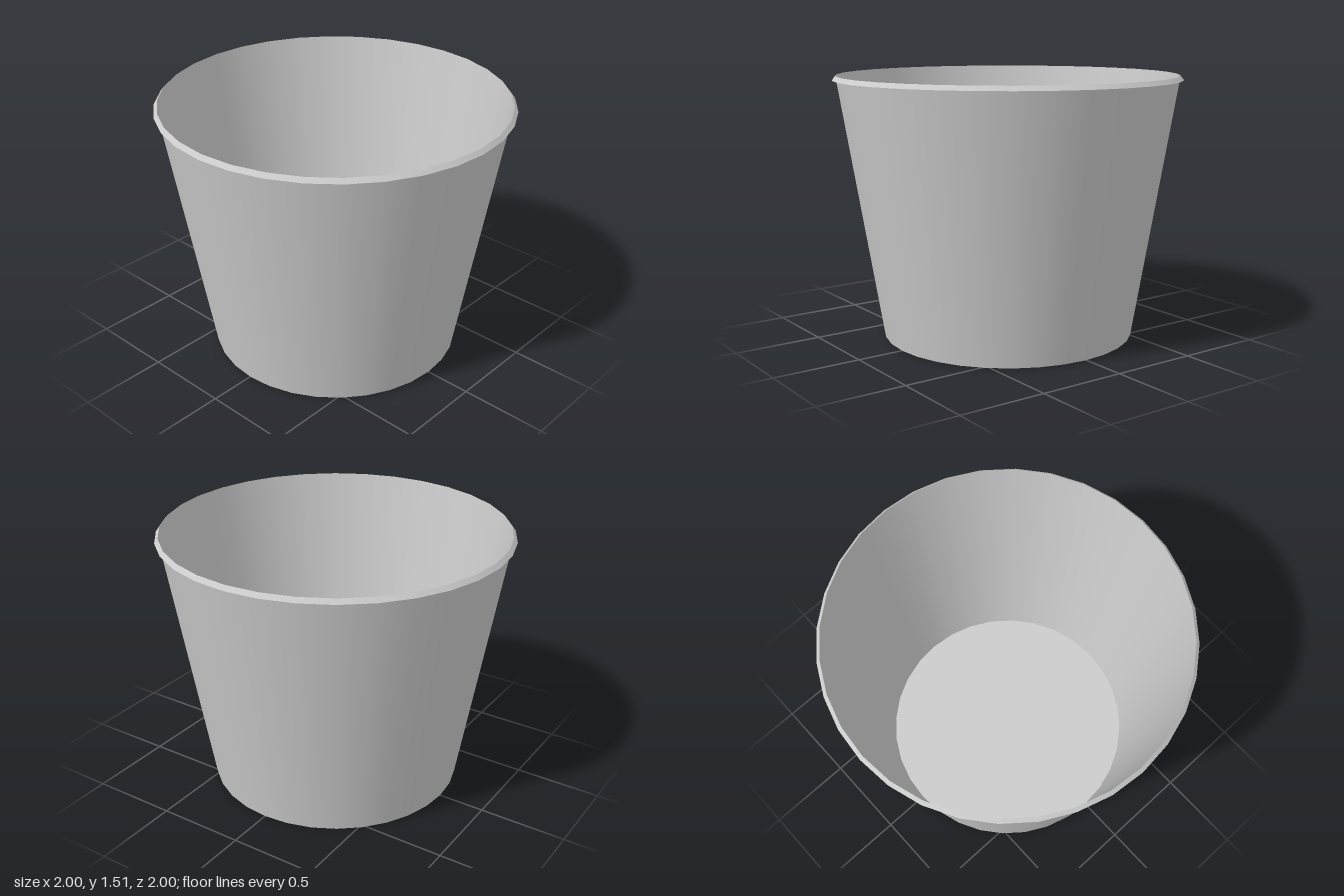
import * as THREE from 'three';

const SIDES = 32;
const HEIGHT = 1.515;
const BASE_RADIUS = 0.73;
const TOP_RADIUS = 0.98;

export function createModel() {
  const group = new THREE.Group();
  group.name = 'bucket';
  const material = new THREE.MeshStandardMaterial({ color: 0xcccccc, side: THREE.DoubleSide });

  const add = (name, geometry) => {
    const mesh = new THREE.Mesh(geometry, material);
    mesh.name = name;
    group.add(mesh);
    return mesh;
  };
  const lathe = (...points) =>
    new THREE.LatheGeometry(points.map(([r, y]) => new THREE.Vector2(r, y)), SIDES);

  // Thin tapered wall, open at the top
  add('wall', lathe([BASE_RADIUS, 0], [TOP_RADIUS, HEIGHT]));

  // Narrow lip folded outward and down from the top edge
  add('rim', lathe([1, 1.49], [TOP_RADIUS, HEIGHT]));

  // Flat bottom disc, facing down
  add('floor', new THREE.CircleGeometry(BASE_RADIUS, SIDES).rotateX(Math.PI / 2));

  return group;
}
